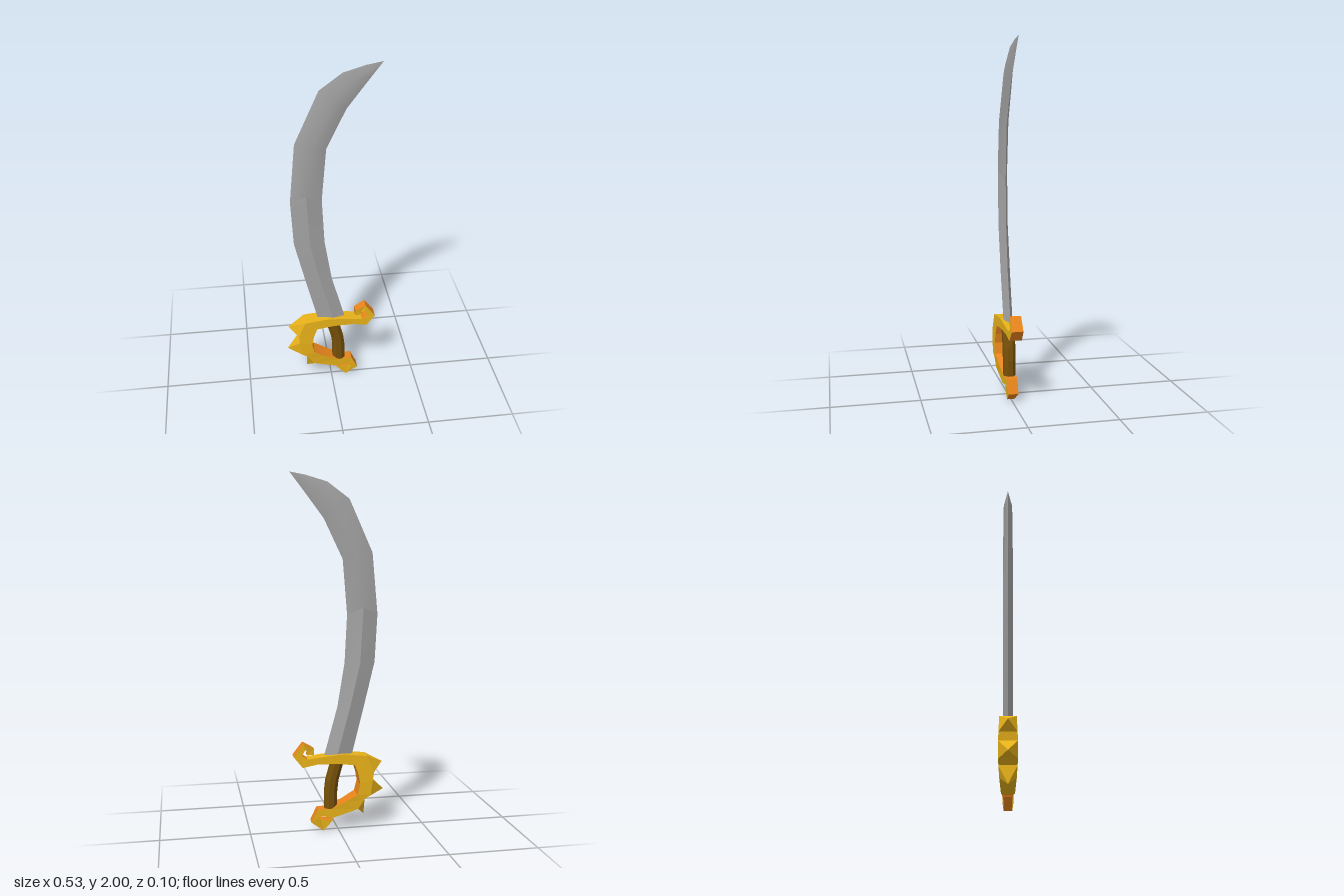
import * as THREE from 'three';
import { toCreasedNormals } from 'three/addons/utils/BufferGeometryUtils.js';

const mat = (name, color) => {
  const m = new THREE.MeshStandardMaterial({ color });
  m.name = name;
  return m;
};

// Collects flat polygons as triangles
class Faces {
  constructor() { this.p = []; }
  add(...pts) {
    for (let i = 1; i < pts.length - 1; i++) this.p.push(...pts[0], ...pts[i], ...pts[i + 1]);
  }
  geometry() {
    const g = new THREE.BufferGeometry();
    g.setAttribute('position', new THREE.Float32BufferAttribute(this.p, 3));
    g.computeVertexNormals();
    return g;
  }
}

// Joins closed rings of points, listed from bottom to top, each anticlockwise from above
function loft(rings) {
  const f = new Faces(), n = rings[0].length;
  for (let i = 0; i < rings.length - 1; i++)
    for (let k = 0; k < n; k++) {
      const l = (k + 1) % n;
      f.add(rings[i][k], rings[i][l], rings[i + 1][l], rings[i + 1][k]);
    }
  f.add(...[...rings[0]].reverse());
  f.add(...rings[rings.length - 1]);
  return f.geometry();
}

// Blade: diamond sections given as left edge, ridge, right edge, half thickness
const BLADE = [
  [-0.075, 0.41, 0.015, 0.41, 0.085, 0.41, 0.026],
  [-0.15, 0.71, -0.065, 0.71, 0.003, 0.71, 0.027],
  [-0.21, 0.96, -0.122, 0.96, -0.038, 0.96, 0.027],
  [-0.225, 1.23, -0.14, 1.27, -0.052, 1.23, 0.027],
  [-0.195, 1.57, -0.105, 1.55, -0.027, 1.535, 0.027],
  [-0.065, 1.86, 0.01, 1.81, 0.078, 1.755, 0.025],
  [0.057, 1.95, 0.112, 1.91, 0.168, 1.875, 0.012],
  [0.178, 1.985, 0.198, 1.963, 0.216, 1.938, 0.005],
  [0.264, 2, 0.264, 2, 0.264, 2, 0],
];

function bladeGeometry(from, to, crease) {
  const rings = BLADE.slice(from, to).map(([lx, ly, mx, my, rx, ry, z]) =>
    [[lx, ly, 0], [mx, my, z], [rx, ry, 0], [mx, my, -z]]);
  return toCreasedNormals(loft(rings), crease);
}

// Grip: curved eight-sided bar
function gripGeometry() {
  const stations = [[0.043, 0.09], [0.043, 0.15], [0.043, 0.22], [0.035, 0.29], [0.016, 0.36], [0, 0.41]];
  return loft(stations.map(([x, y]) => Array.from({ length: 8 }, (_, k) => {
    const a = -(k + 0.5) * Math.PI / 4;
    return [x + 0.039 * Math.cos(a), y, 0.037 * Math.sin(a)];
  })));
}

// Guard: a ribbon from upper curl through knuckle bow to lower curl.
// Each station: outer x, y, inner x, y, half thickness
const STATIONS = [
  [0.18, 0.445, 0.14, 0.445, 0.02],
  [0.174, 0.468, 0.14, 0.48, 0.022],
  [0.192, 0.476, 0.2, 0.513, 0.031],
  [0.21, 0.445, 0.256, 0.44, 0.032],
  [0.178, 0.424, 0.206, 0.377, 0.035],
  [0.105, 0.433, 0.125, 0.393, 0.038],
  [-0.02, 0.445, 0.01, 0.392, 0.041],
  [-0.16, 0.43, -0.09, 0.38, 0.045],
  [-0.2, 0.335, -0.11, 0.325, 0.048],
  [-0.193, 0.29, -0.12, 0.27, 0.05],
  [-0.18, 0.2, -0.105, 0.207, 0.05],
  [-0.145, 0.178, -0.075, 0.19, 0.048],
  [-0.11, 0.122, -0.03, 0.165, 0.044],
  [0.034, 0.077, 0.045, 0.13, 0.036],
  [0.103, 0.09, 0.12, 0.128, 0.03],
  [0.114, 0.066, 0.156, 0.053, 0.028],
  [0.104, 0.066, 0.087, 0, 0.022],
  [0.097, 0.068, 0.03, 0.06, 0.022],
];
// Spike tips, keyed by the ribbon segment they grow from
const SPIKES = { 7: [-0.256, 0.385, 0], 9: [-0.264, 0.222, 0], 11: [-0.15, 0.08, 0] };

function guardGeometries() {
  const gold = new Faces(), copper = new Faces();
  const st = STATIONS.map(([ax, ay, bx, by, z]) =>
    ({ aF: [ax, ay, z], aB: [ax, ay, -z], bF: [bx, by, z], bB: [bx, by, -z] }));
  for (let i = 0; i < st.length - 1; i++) {
    const p = st[i], q = st[i + 1], tip = SPIKES[i];
    gold.add(p.aF, q.aF, q.bF, p.bF);
    gold.add(p.aB, p.bB, q.bB, q.aB);
    copper.add(p.bF, q.bF, q.bB, p.bB);
    if (tip) {
      const base = [p.aF, p.aB, q.aB, q.aF];
      base.forEach((v, k) => gold.add(v, base[(k + 1) % 4], tip));
    } else {
      const curl = i < 4 || i > 12;
      (curl ? copper : gold).add(p.aF, p.aB, q.aB, q.aF);
    }
  }
  const s = st[0], e = st[st.length - 1];
  copper.add(s.aF, s.bF, s.bB, s.aB);
  copper.add(e.aF, e.aB, e.bB, e.bF);
  return [gold.geometry(), copper.geometry()];
}

export function createModel() {
  const model = new THREE.Group();
  model.name = 'sabre';
  const steel = mat('steel', 0xa3a3a3);
  const gold = mat('gold', 0xebb41a);
  const copper = mat('copper', 0xe8841c);
  const brown = mat('gripBrown', 0x765008);
  const add = (name, geometry, material, parent = model) => {
    const mesh = new THREE.Mesh(geometry, material);
    mesh.name = name;
    parent.add(mesh);
  };

  // Sharp ridge on the lower blade, softened ridge toward the point
  const blade = new THREE.Group();
  blade.name = 'blade';
  add('lowerBlade', bladeGeometry(0, 4, 0.5), steel, blade);
  add('upperBlade', bladeGeometry(3, BLADE.length, 0.8), steel, blade);
  model.add(blade);

  add('grip', gripGeometry(), brown);

  const guard = new THREE.Group();
  guard.name = 'guard';
  const [faces, edges] = guardGeometries();
  add('guardFacesAndSpikes', faces, gold, guard);
  add('guardEdges', edges, copper, guard);
  model.add(guard);
  return model;
}
